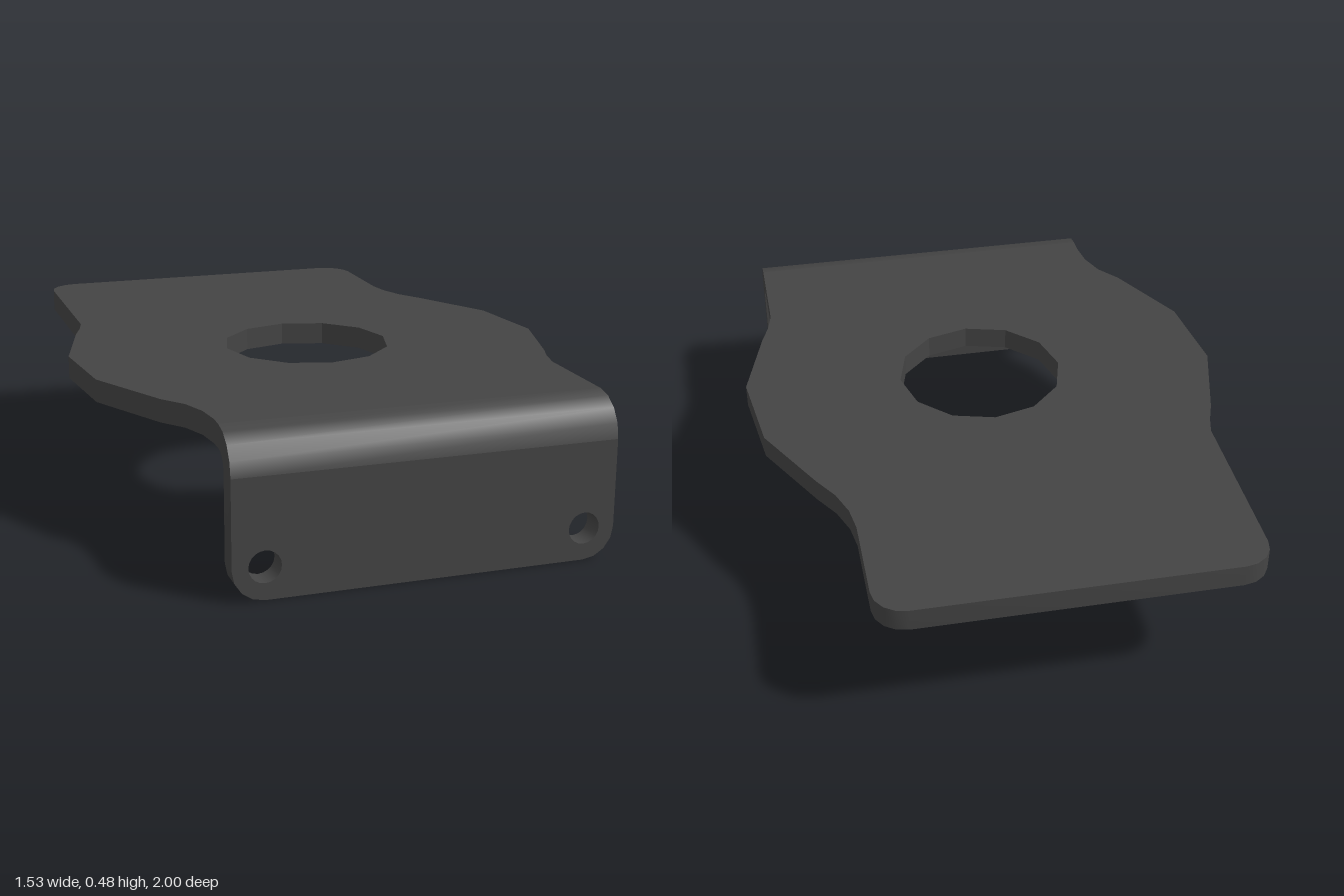
import * as THREE from 'three';
import { toCreasedNormals } from 'three/addons/utils/BufferGeometryUtils.js';

const T = 0.07;                       // sheet thickness
const TOP = 0.48, FRONT = 1;          // outer faces of the plate and flange
const LEFT = 0.65, RIGHT = -0.505;    // flange sides
const R = 0.12;                       // outer bend radius
const CORNER = 0.095;

// points along a circular arc, angles in quarter turns
function arc(cx, cy, r, from, to, n = 4) {
  return Array.from({ length: n + 1 }, (_, i) => {
    const a = (from + (to - from) * i / n) * Math.PI / 2;
    return new THREE.Vector2(cx + r * Math.cos(a), cy + r * Math.sin(a));
  });
}

const hole = (cx, cy, r, n) => new THREE.Path(arc(cx, cy, r, 0, 4, n).slice(0, n));

function extrude(points, depth, holes = []) {
  const shape = new THREE.Shape(points);
  shape.holes.push(...holes);
  return new THREE.ExtrudeGeometry(shape, { depth, bevelEnabled: false });
}

export function createModel() {
  const group = new THREE.Group();
  const material = new THREE.MeshStandardMaterial({ color: 0x444444 });
  const add = (name, geometry) => {
    const mesh = new THREE.Mesh(toCreasedNormals(geometry, 0.5), material);
    mesh.name = name;
    group.add(mesh);
  };

  // flat plate with bulged sides, outlined as (x, z)
  const leftSide = [[LEFT, FRONT - R], [0.65, 0.57], [0.665, 0.5], [0.69, 0.43], [0.765, 0.16],
    [0.73, -0.13], [0.595, -0.38], [0.545, -0.46], [0.515, -0.54], [0.503, -0.62]];
  const rightSide = [[-0.65, -0.36], [-0.665, -0.3], [-0.69, -0.23], [-0.765, 0.05],
    [-0.735, 0.34], [-0.6, 0.6], [-0.545, 0.67], [-0.515, 0.75], [RIGHT, 0.83], [RIGHT, FRONT - R]];
  const toShape = ([x, z]) => new THREE.Vector2(x, -z);
  const outline = [
    ...leftSide.map(toShape),
    ...arc(0.503 - CORNER, 1 - CORNER, CORNER, 0, 1),
    ...arc(-0.65 + CORNER, 1 - CORNER, CORNER, 1, 2),
    ...rightSide.map(toShape),
  ];
  const plate = extrude(outline, T, [hole(0, -0.105, 0.265, 12)]);
  add('plate', plate.rotateX(-Math.PI / 2).translate(0, TOP - T, 0));

  // quarter bend joining plate and flange
  const cz = FRONT - R, cy = TOP - R;
  const section = [...arc(cz, cy, R, 0, 1, 4), ...arc(cz, cy, R - T, 1, 0, 4)];
  add('bend', extrude(section, LEFT - RIGHT).rotateY(-Math.PI / 2).translate(LEFT, 0, 0));

  // front flange with two mounting holes concentric with its rounded corners
  const xs = [RIGHT + CORNER, LEFT - CORNER];
  const flange = extrude([
    new THREE.Vector2(LEFT, cy),
    new THREE.Vector2(RIGHT, cy),
    ...arc(xs[0], CORNER, CORNER, 2, 3),
    ...arc(xs[1], CORNER, CORNER, 3, 4),
  ], T, xs.map((x) => hole(x, 0.098, 0.048, 20)));
  add('flange', flange.translate(0, 0, FRONT - T));

  return group;
}
